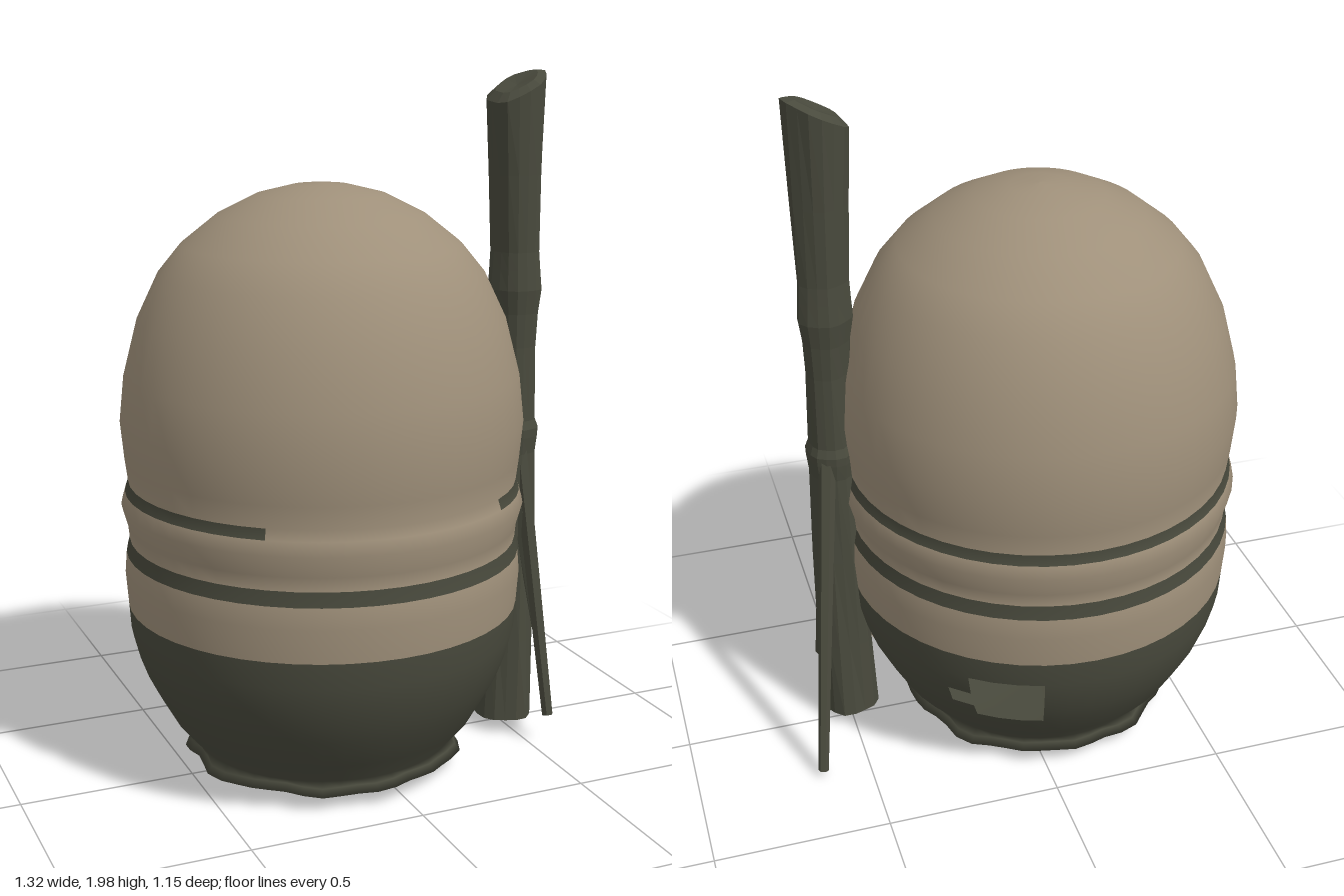
import * as THREE from 'three';

const beige = new THREE.MeshStandardMaterial({ color: 0x9f907a, side: THREE.DoubleSide });
beige.name = 'beige cloth';
const dark = new THREE.MeshStandardMaterial({ color: 0x494a3d, side: THREE.DoubleSide });
dark.name = 'dark bark';

const SEG = 48;
const CX = -0.09; // body axis

// Body outline as [radius, height], bottom to top
const outline = [
  [0, 0.01], [0.2, 0.025], [0.36, 0.045], [0.4, 0.055], [0.385, 0.075], [0.38, 0.09],
  [0.44, 0.16], [0.49, 0.25], [0.515, 0.3], [0.537, 0.36], [0.555, 0.43], [0.56, 0.505],
  [0.567, 0.6], [0.562, 0.66], [0.552, 0.7], [0.556, 0.74], [0.573, 0.8], [0.562, 0.838],
  [0.552, 0.867], [0.56, 0.93], [0.57, 1.04], [0.556, 1.17], [0.517, 1.32], [0.455, 1.45],
  [0.39, 1.53], [0.29, 1.61], [0.18, 1.665], [0.08, 1.69], [0, 1.695],
];

const lathe = (pts, n) => new THREE.LatheGeometry(pts.map(([r, y]) => new THREE.Vector2(r, y)), n);

function addMesh(parent, name, geometry, material) {
  const mesh = new THREE.Mesh(geometry, material);
  mesh.name = name;
  parent.add(mesh);
  return mesh;
}

function moveVertices(geometry, rule) {
  const p = geometry.attributes.position;
  const v = new THREE.Vector3();
  for (let i = 0; i < p.count; i++) {
    rule(v.fromBufferAttribute(p, i));
    p.setXYZ(i, v.x, v.y, v.z);
  }
  geometry.computeVertexNormals();
  return geometry;
}

function faceted(geometry) {
  const flat = geometry.toNonIndexed();
  flat.computeVertexNormals();
  return flat;
}

// Which part a cell of the body belongs to; null leaves a torn hole
function partAt(seg, y) {
  const inHole = y > 0.25 && y < 0.43 && seg >= 19 && seg <= 21;
  const inNotch = y > 0.3 && y < 0.36 && seg === 18;
  if (inHole || inNotch) return null;
  if (y < 0.505) return 'lowerBowl';
  if (y > 0.66 && y < 0.7) return 'lowerBand';
  // the upper band is open at the front
  if (y > 0.838 && y < 0.867 && seg >= 5 && seg < SEG - 5) return 'upperBand';
  return 'dome';
}

function buildBody() {
  const body = new THREE.Group();
  body.name = 'body';
  body.position.x = CX;
  const shell = lathe(outline, SEG);
  // ragged rim around the base
  const p = shell.attributes.position;
  for (let i = 0; i < p.count; i++) {
    const x = p.getX(i), z = p.getZ(i);
    if (p.getY(i) > 0.08 || Math.hypot(x, z) < 0.3) continue;
    const a = Math.atan2(x, z);
    const k = 1 + 0.02 * Math.sin(a * 9) + 0.015 * Math.sin(a * 14 + 1);
    p.setXYZ(i, x * k, p.getY(i) + 0.006 * Math.sin(a * 7), z * k);
  }
  const parts = { lowerBowl: [], lowerBand: [], upperBand: [], dome: [] };
  const rows = outline.length;
  for (let s = 0; s < SEG; s++) {
    for (let j = 0; j < rows - 1; j++) {
      const part = partAt(s, (outline[j][1] + outline[j + 1][1]) / 2);
      if (!part) continue;
      const a = s * rows + j, b = a + rows;
      parts[part].push(a, b, a + 1, b + 1, a + 1, b);
    }
  }
  for (const [name, index] of Object.entries(parts)) {
    const g = shell.clone();
    g.setIndex(index);
    addMesh(body, name, g, name === 'dome' ? beige : dark);
  }
  // small pale spots beside the log
  for (const [angle, y, r, size] of [[84, 0.3, 0.519, 0.05], [74, 0.25, 0.496, 0.028]]) {
    const a = THREE.MathUtils.degToRad(angle);
    const spot = addMesh(body, 'paleSpot', new THREE.CircleGeometry(size, 10), beige);
    const n = new THREE.Vector3(Math.sin(a), -0.45, Math.cos(a));
    spot.position.set(Math.sin(a) * r, y, Math.cos(a) * r);
    spot.lookAt(spot.position.clone().add(n));
  }
  return body;
}

// Upright log with knots, grooves and a slanted cut on top
function buildLog() {
  const profile = [
    [0, 0.05], [0.086, 0.05], [0.08, 0.3], [0.073, 0.6], [0.064, 0.88], [0.07, 0.93],
    [0.071, 0.955], [0.062, 0.98], [0.06, 1.2], [0.066, 1.3], [0.076, 1.37], [0.072, 1.43],
    [0.069, 1.48], [0.075, 1.7], [0.085, 1.945], [0.06, 1.96], [0, 1.95],
  ];
  const g = moveVertices(lathe(profile, 16), (v) => {
    const a = Math.atan2(v.x, v.z);
    const k = 1 + 0.04 * Math.sin(a * 5 + v.y * 3) + 0.03 * Math.sin(a * 3 + v.y * 5);
    v.x *= k;
    v.z *= k;
    if (v.y > 1.9) v.y += 0.5 * v.x - 0.1 * v.z;
    v.x += 0.497 + 0.013 * Math.sin((Math.PI * v.y) / 2);
    v.z += 0.03;
  });
  return faceted(g);
}

// Thin branch running between two points
function branch(from, to, r0, r1) {
  const a = new THREE.Vector3(...from), b = new THREE.Vector3(...to);
  const d = b.clone().sub(a);
  const g = new THREE.CylinderGeometry(r1, r0, d.length(), 6);
  g.applyQuaternion(new THREE.Quaternion().setFromUnitVectors(new THREE.Vector3(0, 1, 0), d.normalize()));
  g.translate(...a.add(b).multiplyScalar(0.5).toArray());
  return faceted(g);
}

export function createModel() {
  const model = new THREE.Group();
  model.name = 'wrappedBarrelWithLog';
  model.add(buildBody());
  addMesh(model, 'log', buildLog(), dark);
  addMesh(model, 'backBranch', branch([0.53, 0.94, -0.01], [0.64, 0.03, -0.25], 0.025, 0.015), dark);
  addMesh(model, 'frontBranch', branch([0.515, 0.92, 0.06], [0.55, 0.1, 0.215], 0.026, 0.017), dark);
  addMesh(model, 'frontBranchFork', branch([0.515, 0.72, 0.08], [0.54, 0.35, 0.15], 0.03, 0.012), dark);
  addMesh(model, 'twigStub', branch([0.51, 0.92, 0.07], [0.48, 0.95, 0.11], 0.018, 0.012), dark);
  return model;
}
